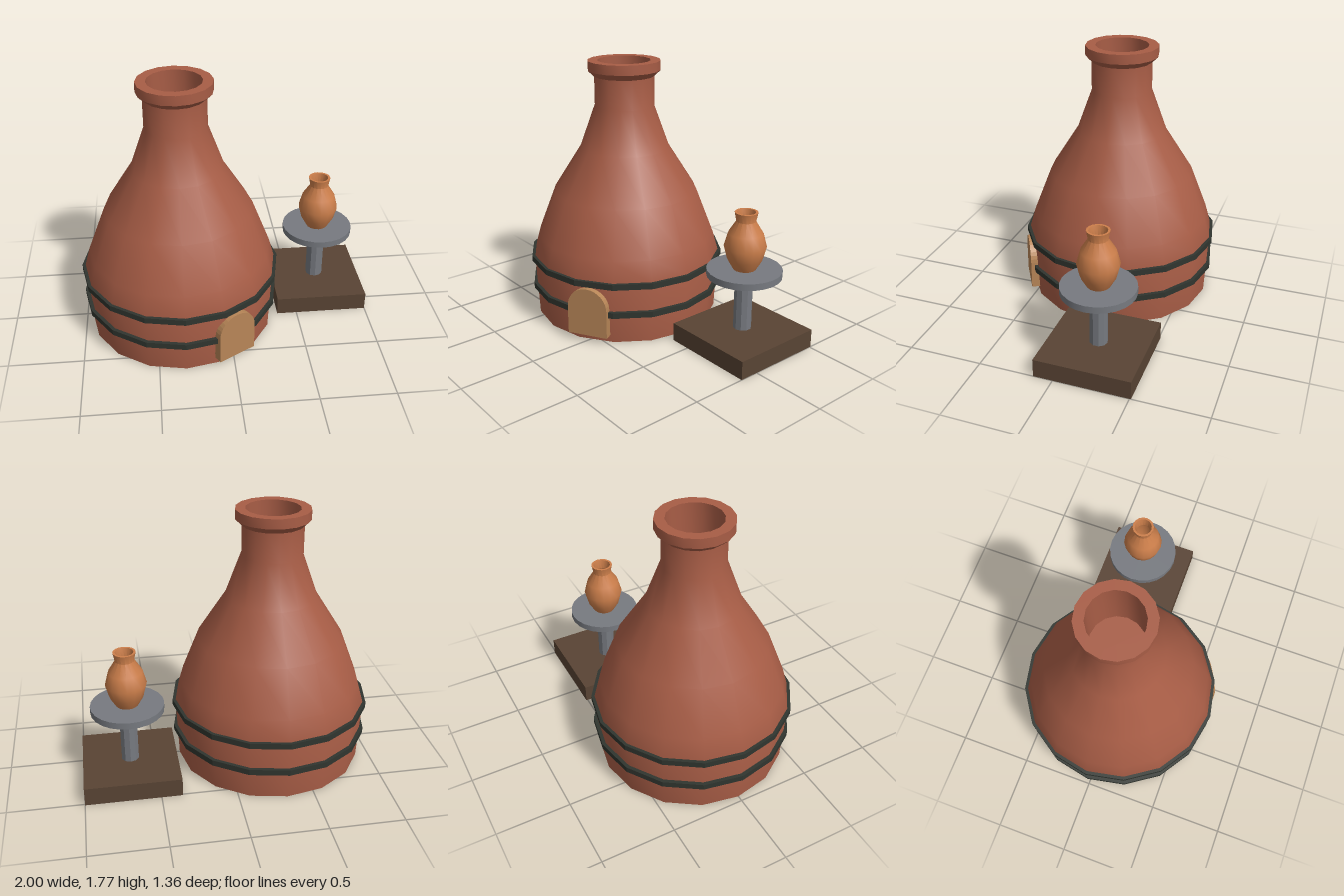
import * as THREE from 'three';
import { toCreasedNormals } from 'three/addons/utils/BufferGeometryUtils.js';

const material = (name, color) => {
  const m = new THREE.MeshStandardMaterial({ color });
  m.name = name;
  return m;
};

export function createModel() {
  const brick = material('brick', 0xa85d46);
  const iron = material('iron', 0x30352f);
  const doorClay = material('doorClay', 0xb88657);
  const wood = material('wood', 0x594434);
  const steel = material('steel', 0x777a80);
  const terracotta = material('terracotta', 0xcd7f4b);

  const model = new THREE.Group();
  model.name = 'potteryKiln';
  const group = (name, x, z) => {
    const g = new THREE.Group();
    g.name = name;
    g.position.set(x, 0, z);
    model.add(g);
    return g;
  };
  const add = (parent, name, geometry, mat, y = 0) => {
    const mesh = new THREE.Mesh(geometry, mat);
    mesh.name = name;
    mesh.position.y = y;
    parent.add(mesh);
    return mesh;
  };
  // Turned part: smooth round the sides, sharp at rims and lips
  const turned = (profile, sides, crease = 0.6) =>
    toCreasedNormals(new THREE.LatheGeometry(profile.map(([r, y]) => new THREE.Vector2(r, y)), sides), crease);

  // Bottle-shaped kiln with a flared chimney rim and a hollow flue
  const kiln = group('kiln', -0.32, 0);
  add(kiln, 'kilnBody', turned([
    [0, 0], [0.64, 0], [0.66, 0.43], [0.62, 0.57], [0.5, 0.88], [0.31, 1.18], [0.205, 1.47], [0.205, 1.67],
    [0.247, 1.71], [0.247, 1.775], [0.18, 1.775], [0.18, 1.35], [0, 1.35],
  ], 16), brick);

  // Iron hoops round the base
  for (const [name, y, r] of [['lowerHoop', 0.21, 0.675], ['upperHoop', 0.415, 0.68]]) {
    const hoop = [[r - 0.04, -0.02], [r, -0.02], [r, 0.02], [r - 0.04, 0.02], [r - 0.04, -0.02]];
    add(kiln, name, turned(hoop, 16, 0.3), iron, y);
  }

  // Arched stoke door, set into the wall
  const arch = new THREE.Shape();
  arch.moveTo(-0.139, 0.05);
  arch.lineTo(0.139, 0.05);
  arch.lineTo(0.139, 0.246);
  arch.absarc(0, 0.246, 0.139, 0, Math.PI, false);
  arch.closePath();
  const doorGeometry = new THREE.ExtrudeGeometry(arch, { depth: 0.06, bevelEnabled: false, curveSegments: 8 });
  doorGeometry.translate(0, 0, 0.62);
  add(kiln, 'door', doorGeometry, doorClay).rotation.y = Math.PI / 6;

  // Potter's wheel
  const wheel = group('pottersWheel', 0.68, -0.19);
  add(wheel, 'wheelBase', new THREE.BoxGeometry(0.64, 0.125, 0.64), wood, 0.0625);
  const column = toCreasedNormals(new THREE.CylinderGeometry(0.06, 0.06, 0.38, 10), 0.3);
  add(wheel, 'wheelColumn', column, steel, 0.315);
  add(wheel, 'wheelHead', new THREE.CylinderGeometry(0.245, 0.245, 0.045, 24), steel, 0.5225);

  // Open vase on the wheel
  add(wheel, 'vase', turned([
    [0, 0.545], [0.075, 0.545], [0.115, 0.615], [0.137, 0.7], [0.113, 0.79], [0.063, 0.87],
    [0.075, 0.93], [0.06, 0.93], [0.047, 0.87], [0.085, 0.79], [0.06, 0.65], [0, 0.62],
  ], 16, 0.75), terracotta);

  return model;
}
